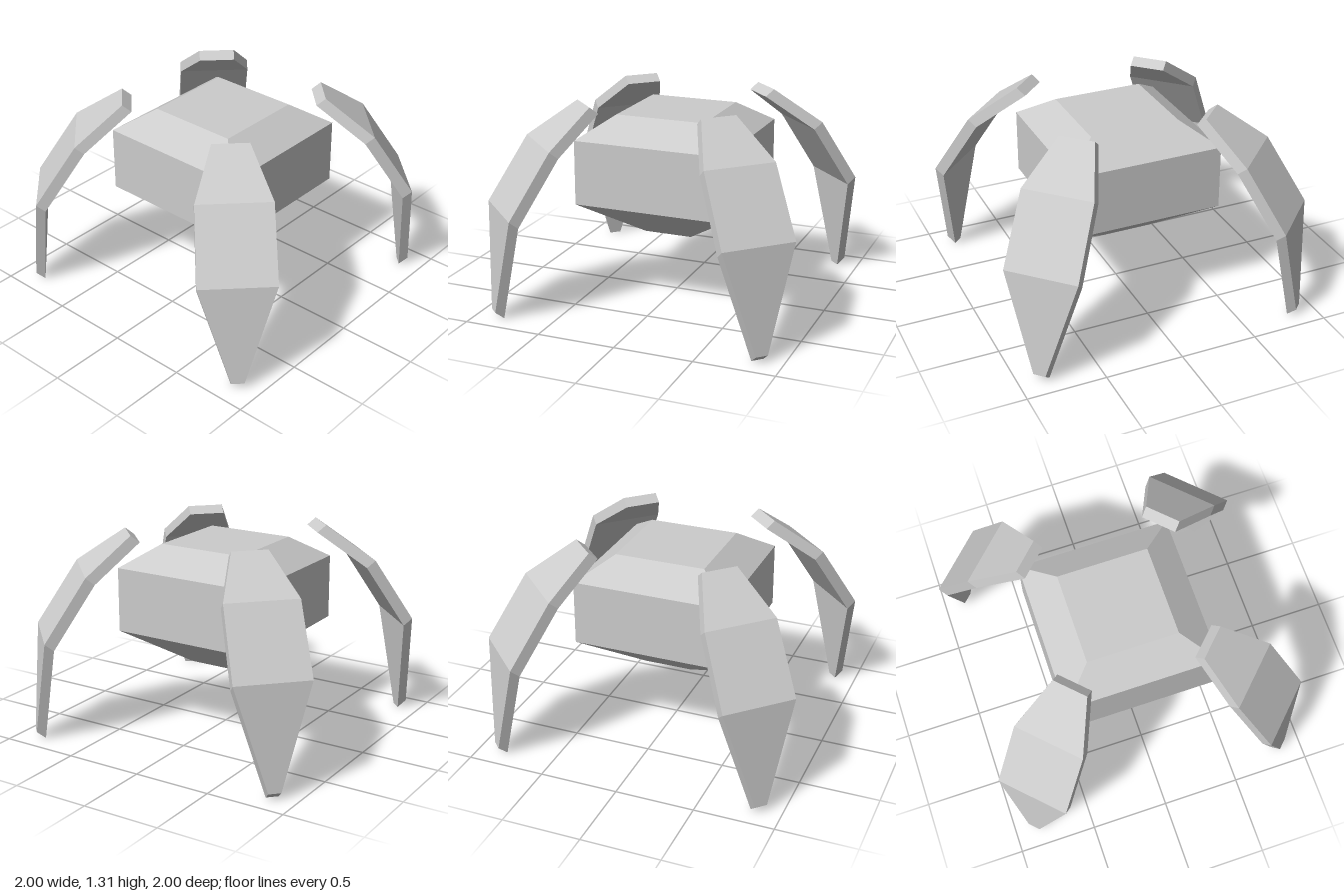
import * as THREE from 'three';

const material = new THREE.MeshStandardMaterial({ color: 0xcccccc, flatShading: true });

// Joins four-cornered rings (bottom to top, counter-clockwise from above) and caps both ends
function loft(rings) {
  const positions = [];
  const quad = (a, b, c, d) => positions.push(...a, ...b, ...c, ...a, ...c, ...d);
  for (let k = 0; k < rings.length - 1; k++) {
    const lower = rings[k], upper = rings[k + 1];
    for (let i = 0; i < 4; i++) {
      const j = (i + 1) % 4;
      quad(lower[i], lower[j], upper[j], upper[i]);
    }
  }
  quad(...[...rings[0]].reverse());
  quad(...rings[rings.length - 1]);
  const geometry = new THREE.BufferGeometry();
  geometry.setAttribute('position', new THREE.Float32BufferAttribute(positions, 3));
  geometry.computeVertexNormals();
  return geometry;
}

export function createModel() {
  const model = new THREE.Group();
  model.name = 'fourLeggedWalker';

  // Square body: [height, half width]
  const bodyRings = [[0.43, 0.155], [0.67, 0.487], [1.08, 0.487], [1.22, 0.289]]
    .map(([y, h]) => [[h, y, h], [h, y, -h], [-h, y, -h], [-h, y, h]]);
  const body = new THREE.Mesh(loft(bodyRings), material);
  body.name = 'body';
  model.add(body);

  // Leg plate: outer surface as [distance from centre, height, half width]
  const inset = 0.056, drop = 0.045;
  const legRings = [[1.241, 0.045, 0.039], [1.181, 0.69, 0.233], [0.919, 1.09, 0.228], [0.622, 1.31, 0.113]]
    .map(([r, y, w]) => [
      [w, y, r], [w, y - drop, r - inset],
      [-w, y - drop, r - inset], [-w, y, r],
    ]);
  const legGeometry = loft(legRings);

  // One leg at each corner
  ['frontLeftLeg', 'backLeftLeg', 'backRightLeg', 'frontRightLeg'].forEach((name, i) => {
    const leg = new THREE.Mesh(legGeometry, material);
    leg.name = name;
    leg.rotation.y = Math.PI / 4 + i * Math.PI / 2;
    model.add(leg);
  });

  return model;
}
